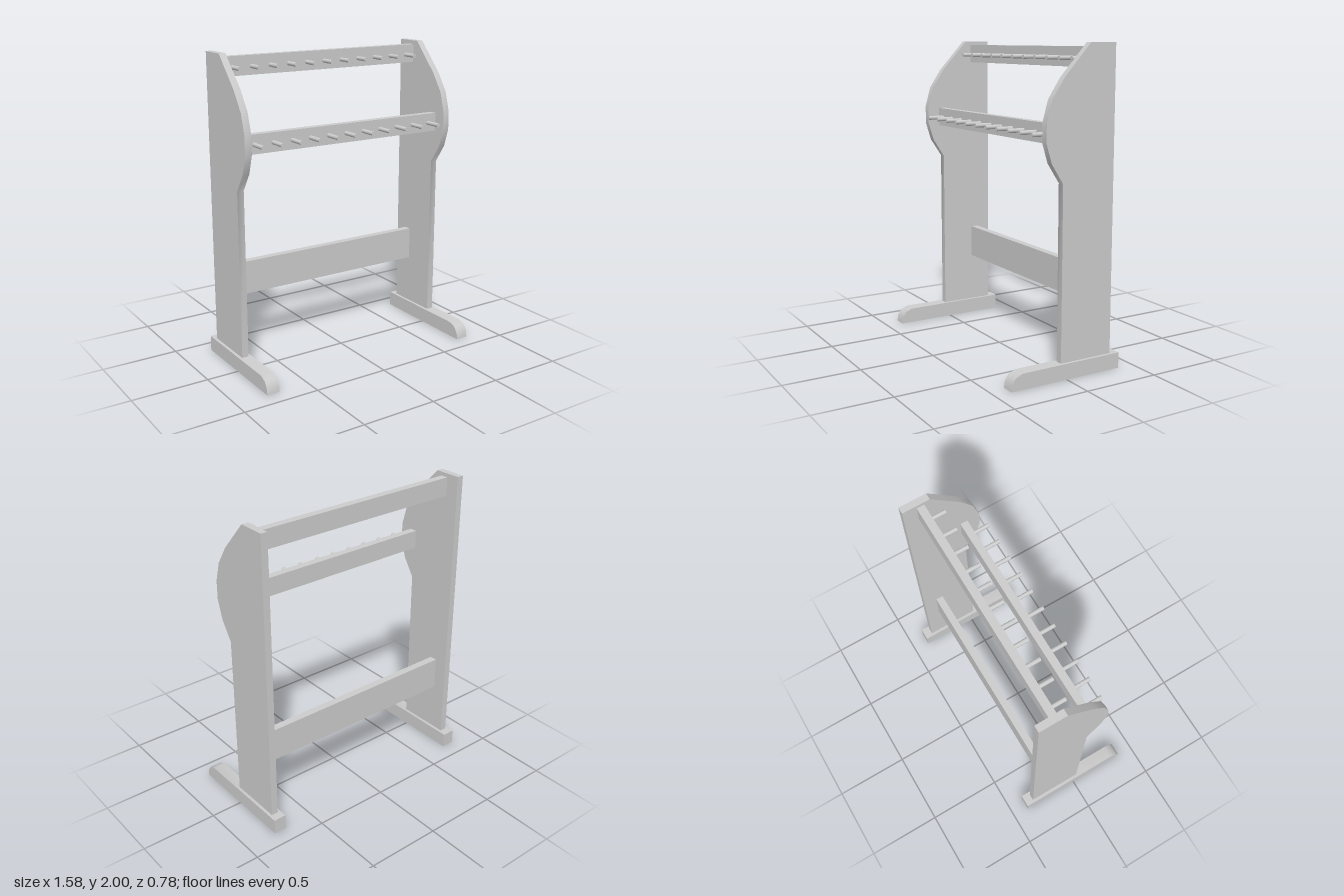
import * as THREE from 'three';
import { toCreasedNormals } from 'three/addons/utils/BufferGeometryUtils.js';

const material = new THREE.MeshStandardMaterial({ color: 0xcccccc });

function addMesh(parent, name, geometry, x = 0, y = 0, z = 0) {
  const mesh = new THREE.Mesh(geometry, material);
  mesh.name = name;
  mesh.position.set(x, y, z);
  parent.add(mesh);
  return mesh;
}

// Extrudes a (z, y) outline across x, centred on x = 0
function sideProfile(points, width) {
  const shape = new THREE.Shape(points.map(([z, y]) => new THREE.Vector2(z, y)));
  const geometry = new THREE.ExtrudeGeometry(shape, { depth: width, bevelEnabled: false });
  geometry.translate(0, 0, -width / 2).rotateY(-Math.PI / 2);
  return toCreasedNormals(geometry, 0.75);
}

export function createModel() {
  const model = new THREE.Group();
  model.name = 'pegRack';

  // Upright panels with a bulge around the middle rail
  const panel = sideProfile([
    [-0.335, 0.1], [0.03, 0.1], [0.03, 1.19], [0.11, 1.31], [0.148, 1.43],
    [0.148, 1.55], [0.11, 1.68], [0.03, 1.8], [-0.155, 2], [-0.335, 2],
  ], 0.045);

  // Feet with a rounded front toe
  const foot = sideProfile([
    [-0.39, 0], [0.39, 0], [0.385, 0.04], [0.36, 0.08], [0.312, 0.1], [-0.39, 0.1],
  ], 0.085);

  for (const [side, s] of [['left', 1], ['right', -1]]) {
    addMesh(model, `${side}Panel`, panel, s * 0.747);
    addMesh(model, `${side}Foot`, foot, s * 0.747);
  }

  // Cross rails, the upper two carrying a row of pegs
  const rails = [
    { name: 'top', y: 1.914, height: 0.122, z: -0.219, pegY: 1.907, pegLength: 0.097 },
    { name: 'middle', y: 1.474, height: 0.122, z: 0.039, pegY: 1.473, pegLength: 0.114 },
    { name: 'bottom', y: 0.54, height: 0.22, z: -0.219 },
  ];
  for (const { name, y, height, z, pegY, pegLength } of rails) {
    addMesh(model, `${name}Rail`, new THREE.BoxGeometry(1.45, height, 0.05), 0, y, z);
    if (!pegLength) continue;
    const pegs = new THREE.Group();
    pegs.name = `${name}Pegs`;
    const peg = new THREE.CylinderGeometry(0.0135, 0.0135, pegLength, 16).rotateX(Math.PI / 2);
    for (let i = 0; i < 11; i++) {
      addMesh(pegs, 'peg', peg, -0.663 + i * 0.1321, pegY, z + 0.025 + pegLength / 2);
    }
    model.add(pegs);
  }

  return model;
}
